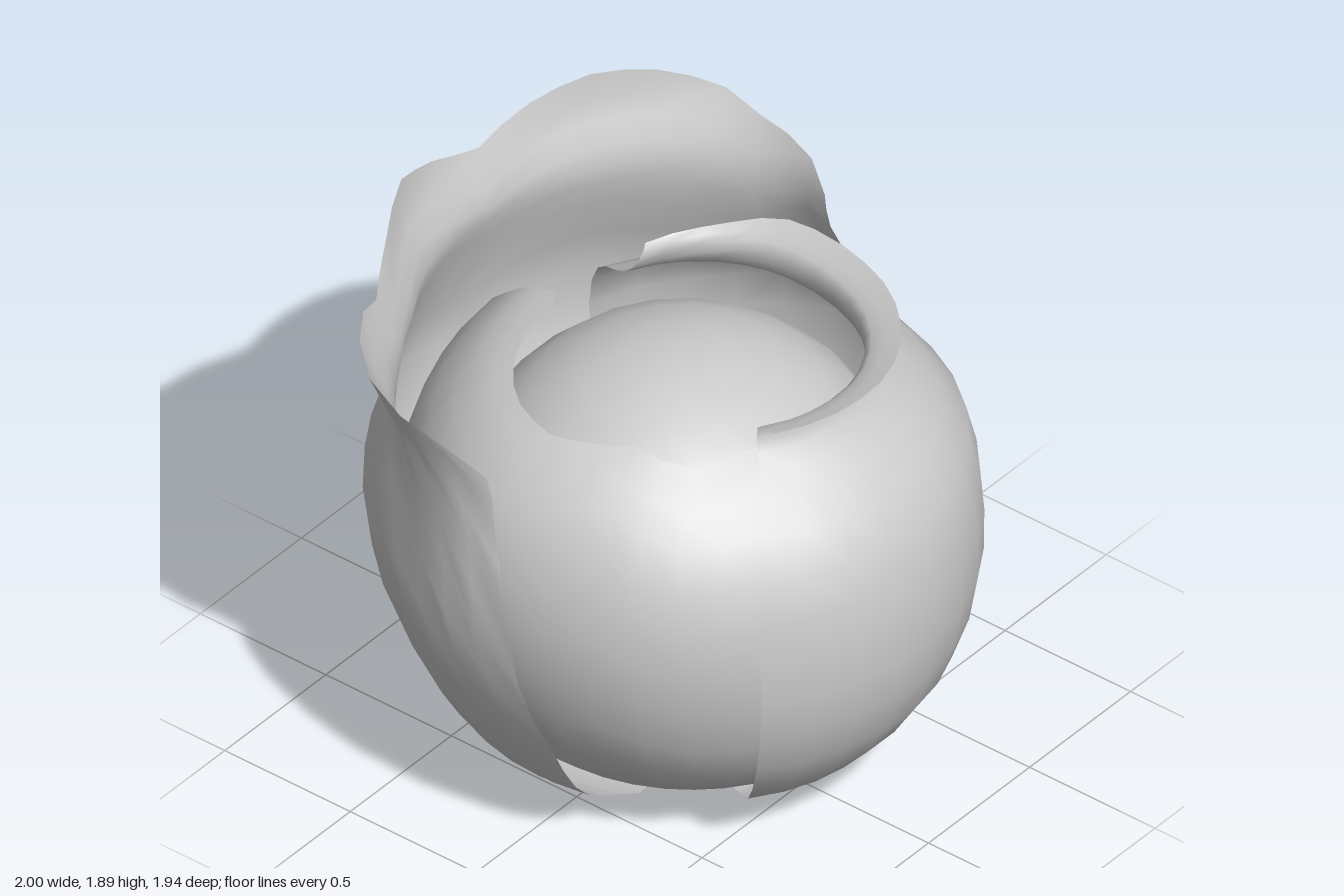
import * as THREE from 'three';

const { lerp, smoothstep } = THREE.MathUtils;

// Linear lookup in a short list of [input, output] pairs
function lookup(table, x) {
  if (x <= table[0][0]) return table[0][1];
  for (let i = 1; i < table.length; i++) {
    const [x0, y0] = table[i - 1], [x1, y1] = table[i];
    if (x <= x1) return lerp(y0, y1, (x - x0) / (x1 - x0));
  }
  return table[table.length - 1][1];
}

const none = [[0, 0]];

// Curved leaf: a [radius, height] profile swept between two edge angles (degrees
// from the front towards +x, depending on height), cut off at a rim height per angle.
// flare widens and sink lowers the upper part per angle.
function leafGeometry({ profile, start, end, rim, scaleX, scaleZ, flare = none, sink = none, cols, rows }) {
  const curve = new THREE.SplineCurve(profile.map(p => new THREE.Vector2(...p)));
  const samples = Array.from({ length: 301 }, (_, i) => curve.getPoint(i / 300));
  const positions = [], indices = [];
  for (let i = 0; i <= cols; i++) {
    const f = i / cols;
    const rimAngle = lerp(lookup(start, 9), lookup(end, 9), f);
    const rimY = lookup(rim, rimAngle);
    const cut = samples.findIndex(p => p.y >= rimY);
    const top = cut < 0 ? 1 : cut / 300;
    for (let j = 0; j <= rows; j++) {
      const p = curve.getPoint(top * j / rows);
      const a = THREE.MathUtils.degToRad(lerp(lookup(start, p.y), lookup(end, p.y), f));
      const z = Math.cos(a);
      const r = p.x + lookup(flare, rimAngle) * smoothstep(p.y, 1.05, 1.6);
      positions.push(
        r * Math.sin(a) * lookup(scaleX, p.y),
        p.y - lookup(sink, rimAngle) * smoothstep(p.y, 1.1, 1.55),
        r * z * (z > 0 ? 1 : lookup(scaleZ, p.y)));
      if (i < cols && j < rows) {
        const k = i * (rows + 1) + j, n = k + rows + 1;
        indices.push(k, n, k + 1, n, n + 1, k + 1);
      }
    }
  }
  const g = new THREE.BufferGeometry();
  g.setAttribute('position', new THREE.Float32BufferAttribute(positions, 3));
  g.setIndex(indices);
  g.computeVertexNormals();
  return g;
}

export function createModel() {
  const group = new THREE.Group();
  const material = new THREE.MeshStandardMaterial({ color: 0xcccccc, side: THREE.DoubleSide });
  const add = (name, geometry) => {
    const mesh = new THREE.Mesh(geometry, material);
    mesh.name = name;
    group.add(mesh);
    return mesh;
  };

  // Slightly flattened inner head
  const core = add('core', new THREE.SphereGeometry(1, 22, 14));
  core.scale.set(0.75, 0.7, 0.72);
  core.position.y = 0.75;

  // Tall outer leaf cupping the back and base, with a wavy rim flared most on the right
  add('backLeaf', leafGeometry({
    profile: [[0.01, 0], [0.3, 0.005], [0.55, 0.09], [0.74, 0.24], [0.87, 0.45], [0.97, 0.72], [1, 1],
      [0.95, 1.22], [0.89, 1.41], [0.85, 1.52], [0.85, 1.6], [0.89, 1.7], [0.92, 1.78], [0.93, 1.9]],
    start: [[0, 62], [0.02, 63], [0.1, 75], [0.47, 77], [0.72, 81], [1, 83], [1.23, 89], [1.55, 94]],
    end: [[0, 298], [0.02, 297], [0.1, 285], [0.47, 283], [0.72, 279], [1, 277], [1.23, 271], [1.55, 266]],
    rim: [[94, 1.55], [102, 1.62], [114, 1.68], [120, 1.75], [134, 1.83], [147, 1.86], [161, 1.81], [175, 1.74],
      [187, 1.82], [200, 1.89], [214, 1.82], [225, 1.73], [235, 1.8], [242, 1.76], [249, 1.68], [266, 1.45]],
    flare: [[94, -0.03], [102, 0.03], [114, 0.06], [134, 0.02], [147, 0], [215, 0], [228, 0.06],
      [238, 0.14], [249, 0.21], [266, 0.1]],
    scaleX: [[0, 1], [1, 1], [1.2, 0.95], [1.41, 0.92], [1.6, 1]],
    scaleZ: [[0, 0.87], [0.25, 0.87], [0.46, 0.89], [0.72, 0.94], [1, 0.97]],
    cols: 26,
    rows: 16,
  }));

  // Inner leaf closing over the model's right side
  add('rightLeaf', leafGeometry({
    profile: [[0.01, 0.04], [0.36, 0.06], [0.57, 0.14], [0.74, 0.29], [0.86, 0.48], [0.92, 0.72],
      [0.92, 0.95], [0.87, 1.17], [0.78, 1.32], [0.68, 1.41], [0.61, 1.46], [0.52, 1.49], [0.44, 1.51]],
    start: [[0, 180], [1.2, 180], [1.5, 187]],
    end: [[0, 350], [1.2, 345], [1.5, 350]],
    rim: [[187, 1.5], [200, 1.51], [229, 1.485], [250, 1.47], [270, 1.46], [295, 1.48], [315, 1.44], [350, 1.46]],
    flare: [[300, 0], [325, -0.07], [350, -0.07]],
    scaleX: [[0, 0.9], [0.5, 0.95], [1, 1]],
    scaleZ: [[0, 0.8], [0.5, 0.85], [0.9, 0.92]],
    cols: 18,
    rows: 14,
  }));

  // Front leaf wrapping round the left side, drawn into a neck with a flared lip
  add('frontLeaf', leafGeometry({
    profile: [[0.01, 0.01], [0.38, 0.02], [0.6, 0.1], [0.78, 0.26], [0.91, 0.46], [0.97, 0.7], [0.97, 0.93],
      [0.93, 1.14], [0.82, 1.32], [0.69, 1.41], [0.63, 1.48], [0.62, 1.55], [0.66, 1.58], [0.74, 1.61]],
    start: [[0, -30], [0.2, -36], [0.43, -37], [1.15, -37], [1.45, -32], [1.6, -30]],
    end: [[0, 148], [1.35, 151], [1.6, 145]],
    rim: [[-30, 1.61], [100, 1.605], [118, 1.585], [145, 1.57]],
    sink: [[0, 0], [45, 0.02], [90, 0.045], [145, 0.07]],
    scaleX: [[0, 0.84], [0.3, 0.92], [0.7, 0.94], [1.2, 0.95], [1.45, 0.82], [1.61, 0.86]],
    scaleZ: [[0, 0.75], [0.5, 0.8], [1, 0.86], [1.2, 0.85], [1.6, 0.7]],
    cols: 18,
    rows: 20,
  }));

  return group;
}
